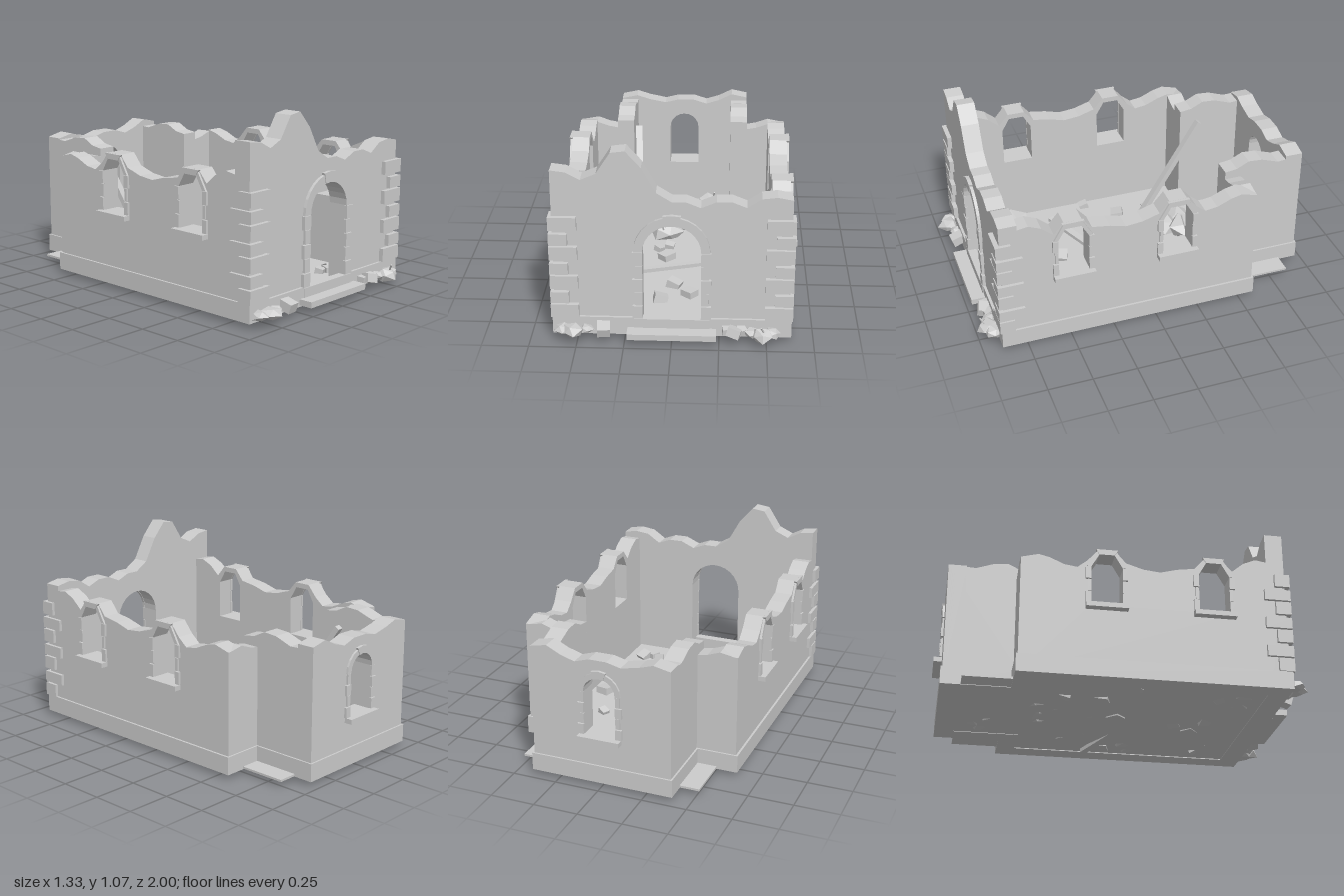
import * as THREE from 'three';

export function createModel() {
  const model = new THREE.Group();
  model.name = 'ruinedChapel';
  const stone = new THREE.MeshStandardMaterial({ color: 0xcccccc });
  stone.name = 'greyStone';

  let seed = 11;
  const rnd = () => (seed = (seed * 16807) % 2147483647) / 2147483647;

  const add = (name, geo, parent = model) => {
    const m = new THREE.Mesh(geo, stone);
    m.name = name;
    parent.add(m);
    return m;
  };
  // box given by its minimum and maximum corners
  const block = (name, x0, x1, y0, y1, z0, z1, parent) =>
    add(name, new THREE.BoxGeometry(x1 - x0, y1 - y0, z1 - z0), parent)
      .position.set((x0 + x1) / 2, (y0 + y1) / 2, (z0 + z1) / 2);
  const polygon = pts => new THREE.Shape(pts.map(p => new THREE.Vector2(...p)));
  const extrude = (shape, depth) => new THREE.ExtrudeGeometry(shape, { depth, bevelEnabled: false });

  // arched opening outline: half width r, sill y0, spring line y1, n arch segments
  const archHole = (c, r, y0, y1, n) => {
    const pts = [[c - r, y0], [c + r, y0]];
    for (let i = 0; i <= n; i++) {
      const a = Math.PI * i / n;
      pts.push([c + r * Math.cos(a), y1 + r * Math.sin(a)]);
    }
    return new THREE.Path(pts.map(p => new THREE.Vector2(...p)));
  };
  // broken-topped wall in the XY plane
  const wallGeo = (top, holes = [], depth = 0.1) => {
    const s = polygon([[top[0][0], 0.03], ...top, [top[top.length - 1][0], 0.03]]);
    s.holes = holes;
    return extrude(s, depth);
  };
  // the same, turned to run along z, inner or outer faces at x0..x0+0.1
  const sideWall = (name, x0, top, holes) =>
    add(name, wallGeo(top, holes).rotateY(-Math.PI / 2)).position.x = x0 + 0.1;

  // FRONT WALL with doorway
  add('frontWall', wallGeo([
    [-0.62, 0.96], [-0.54, 0.95], [-0.465, 0.91], [-0.385, 0.945], [-0.31, 1.06], [-0.235, 1.07],
    [-0.155, 0.98], [-0.08, 0.845], [0, 0.795], [0.075, 0.795], [0.15, 0.765], [0.23, 0.8],
    [0.31, 0.8], [0.385, 0.77], [0.46, 0.82], [0.54, 0.83], [0.62, 0.815]],
    [archHole(0, 0.155, 0.04, 0.515, 14)])).position.z = 0.78;

  // NAVE SIDE WALLS, rising around each window
  const windows = [0.48, -0.11];
  const bump = c => [[c - 0.105, 0.71], [c - 0.05, 0.775], [c + 0.05, 0.775], [c + 0.105, 0.71]];
  const naveTop = [[-0.575, 0.7], [-0.48, 0.725], [-0.42, 0.71], [-0.34, 0.675], [-0.27, 0.665],
    ...bump(-0.11), [0.09, 0.68], [0.185, 0.67], [0.275, 0.695], ...bump(0.48),
    [0.65, 0.765], [0.72, 0.795], [0.78, 0.785]];
  const chancelTop = [[-0.95, 0.74], [-0.88, 0.735], [-0.8, 0.73], [-0.7, 0.765], [-0.62, 0.77],
    [-0.55, 0.735], [-0.48, 0.725]];
  for (const s of [1, -1]) {
    const side = s > 0 ? 'left' : 'right';
    sideWall(side + 'NaveWall', s * 0.57 - 0.05, naveTop, windows.map(c => archHole(c, 0.087, 0.445, 0.67, 3)));
    sideWall(side + 'ChancelWall', s * 0.345 - 0.05, chancelTop);
    // short return wall joining nave and chancel
    add(side + 'ReturnWall', wallGeo([[s * 0.395, 0.68], [s * 0.45, 0.69], [s * 0.52, 0.715], [s * 0.6, 0.7]], [], 0.095))
      .position.z = -0.575;
  }

  // CHANCEL BACK WALL
  add('chancelBackWall', wallGeo([[-0.395, 0.74], [-0.3, 0.76], [-0.22, 0.735], [-0.12, 0.715], [-0.04, 0.735],
    [0.06, 0.735], [0.14, 0.71], [0.22, 0.735], [0.3, 0.775], [0.395, 0.755]],
    [archHole(0, 0.09, 0.305, 0.55, 10)])).position.z = -0.95;

  // FLOOR
  block('floor', -0.515, 0.515, 0.033, 0.045, -0.85, 0.8);

  // PLINTH course, left open at the doorway
  for (const s of [1, -1]) {
    const bar = (name, a, b, z0, z1) =>
      block(name, Math.min(s * a, s * b), Math.max(s * a, s * b), 0.03, 0.13, z0, z1);
    bar('frontPlinth', 0.155, 0.632, 0.87, 0.895);
    bar('navePlinth', 0.6, 0.632, -0.585, 0.895);
    bar('returnPlinth', 0.39, 0.632, -0.585, -0.56);
    bar('chancelPlinth', 0.38, 0.405, -0.96, -0.56);
  }
  block('backPlinth', -0.405, 0.405, 0.03, 0.13, -0.96, -0.93);
  block('threshold', -0.2, 0.2, 0.03, 0.125, 0.85, 0.9);
  block('doorStep', -0.235, 0.235, 0.04, 0.073, 0.88, 0.975);

  // STONE SURROUND: voussoirs, alternating jamb stones, optional sill; faces +z from z = 0
  const surround = (name, r, w, y0, y1, n, rows, depth, sill) => {
    const g = new THREE.Group();
    g.name = name;
    for (let i = 0; i < n; i++) {
      const key = i === (n - 1) / 2 ? 0.012 : 0;
      const a = Math.PI * i / n, b = Math.PI * (i + 1) / n;
      const at = (rad, t) => [rad * Math.cos(t), y1 + rad * Math.sin(t)];
      const mid = (a + b) / 2, R = r + w + key;
      const pts = n > 3 ? [at(r, a), at(R, a), at(R, mid), at(R, b), at(r, b), at(r, mid)]
        : [at(r, a), at(R, a), at(R, b), at(r, b)];
      add('archStone', extrude(polygon(pts), depth + key / 3), g);
    }
    const h = (y1 - y0) / rows;
    for (let i = 0; i < rows; i++) {
      const e = i % 2 ? -0.006 : 0.006;
      for (const s of [1, -1]) {
        const a = s * r, b = s * (r + w + e);
        block('jambStone', Math.min(a, b), Math.max(a, b), y0 + i * h + 0.002, y0 + (i + 1) * h - 0.002, 0, depth + e / 3, g);
      }
    }
    if (sill) block('sill', -r - 0.03, r + 0.03, y0 - 0.027, y0, -0.01, 0.045, g);
    model.add(g);
    return g;
  };
  surround('doorSurround', 0.153, 0.047, 0.125, 0.515, 7, 5, 0.017, false).position.z = 0.88;
  const backSurround = surround('backWindowSurround', 0.09, 0.03, 0.305, 0.55, 5, 4, 0.012, true);
  backSurround.position.z = -0.95;
  backSurround.rotation.y = Math.PI;
  for (const s of [1, -1]) for (const c of windows) {
    const g = surround('sideWindowSurround', 0.085, 0.024, 0.445, 0.67, 3, 3, 0.014, true);
    g.position.set(s * 0.618, 0, c);
    g.rotation.y = s * Math.PI / 2;
  }

  // QUOINS at the front corners
  for (const s of [1, -1]) for (let i = 0; i < 7; i++) {
    const long = i % 2 === 0, y = 0.13 + i * 0.0838, h = long ? 0.075 : 0.064;
    const inner = long ? 0.49 : 0.54, z0 = long ? 0.82 : 0.76;
    block('quoin', s > 0 ? inner : -0.638, s > 0 ? 0.638 : -inner, y, y + h, z0, 0.905);
  }

  // BEAMS
  const beam = (name, a, b, w, t) => {
    const A = new THREE.Vector3(...a), B = new THREE.Vector3(...b);
    const m = add(name, new THREE.BoxGeometry(w, t, A.distanceTo(B)));
    m.position.copy(A).add(B).multiplyScalar(0.5);
    m.lookAt(B);
  };
  beam('leaningBeam', [-0.24, 0.05, -0.2], [-0.272, 0.65, -0.59], 0.04, 0.03);
  beam('fallenBeam', [-0.33, 0.105, 0.34], [0.46, 0.015, -0.075], 0.04, 0.022);

  // RUBBLE: faceted boulders, shared corners shifted by one rule
  const rock = (x, z, r, y = 0.06) => {
    const geo = new THREE.IcosahedronGeometry(r, 0);
    const p = geo.attributes.position, k = rnd() * 50;
    for (let i = 0; i < p.count; i++) {
      const q = Math.sin(Math.round(p.getX(i) / r * 9) * 12.9 + Math.round(p.getY(i) / r * 9) * 7.2
        + Math.round(p.getZ(i) / r * 9) * 4.7 + k);
      const f = 1 + 0.17 * q;
      p.setXYZ(i, p.getX(i) * f, p.getY(i) * f * 0.62, p.getZ(i) * f);
    }
    geo.computeVertexNormals();
    const m = add('boulder', geo);
    m.position.set(x, y, z);
    m.rotation.y = rnd() * 6;
  };
  [[-0.15, -0.41, 0.085], [-0.01, -0.41, 0.11], [-0.09, -0.29, 0.1], [0.08, -0.38, 0.06],
    [0.16, -0.77, 0.07], [0.21, -0.69, 0.08], [0.1, -0.67, 0.05],
    [0.38, 0.17, 0.1], [0.42, 0.28, 0.085], [0.46, 0.2, 0.07],
    [-0.42, 0.55, 0.09], [-0.32, 0.67, 0.075], [-0.45, 0.67, 0.08]]
    .forEach(([x, z, r]) => rock(x, z, r, 0.03 + r * 0.5));
  [[-0.58, 0.92, 0.05], [-0.52, 0.94, 0.06], [-0.45, 0.91, 0.04], [0.48, 0.94, 0.065],
    [0.53, 0.92, 0.05], [0.42, 0.92, 0.04]].forEach(([x, z, r]) => rock(x, z, r, 0.07));

  // splinters standing out of the rubble
  [[-0.08, -0.5, 0.02], [0.08, -0.4, -0.04], [-0.1, -0.24, -0.02], [0.19, -0.79, 0.01], [0.4, 0.18, 0.03], [-0.31, 0.66, -0.04],
    [0.49, 0.95, -0.02]]
    .forEach(([x, z, d], i) => beam('splinter', [x, 0.08, z], [x + d, i < 3 ? 0.22 : 0.13, z + 0.03], 0.007, 0.007));

  // loose broken blocks
  [[-0.31, -0.29, 0.075], [-0.31, -0.08, 0.08], [-0.12, -0.08, 0.05], [-0.06, -0.12, 0.055], [-0.07, 0.03, 0.08],
    [0.21, -0.1, 0.05], [0.32, -0.23, 0.05], [0.43, 0.03, 0.08], [-0.47, 0.09, 0.055], [-0.01, 0.37, 0.075],
    [0.08, 0.48, 0.075], [-0.08, 0.54, 0.075], [0.31, 0.6, 0.055], [0.36, 0.62, 0.06], [0.41, 0.59, 0.07],
    [-0.36, 0.92, 0.075], [0.33, 0.93, 0.07], [0.29, 0.91, 0.05], [0.37, 0.91, 0.05]]
    .forEach(([x, z, w]) => {
      const m = add('looseBlock', new THREE.BoxGeometry(w, w * 0.7, w * 0.9));
      m.position.set(x, z > 0.85 ? 0.075 : 0.055, z);
      m.rotation.set(rnd() * 0.6 - 0.3, rnd() * 3, rnd() * 0.6 - 0.3);
    });

  return model;
}
